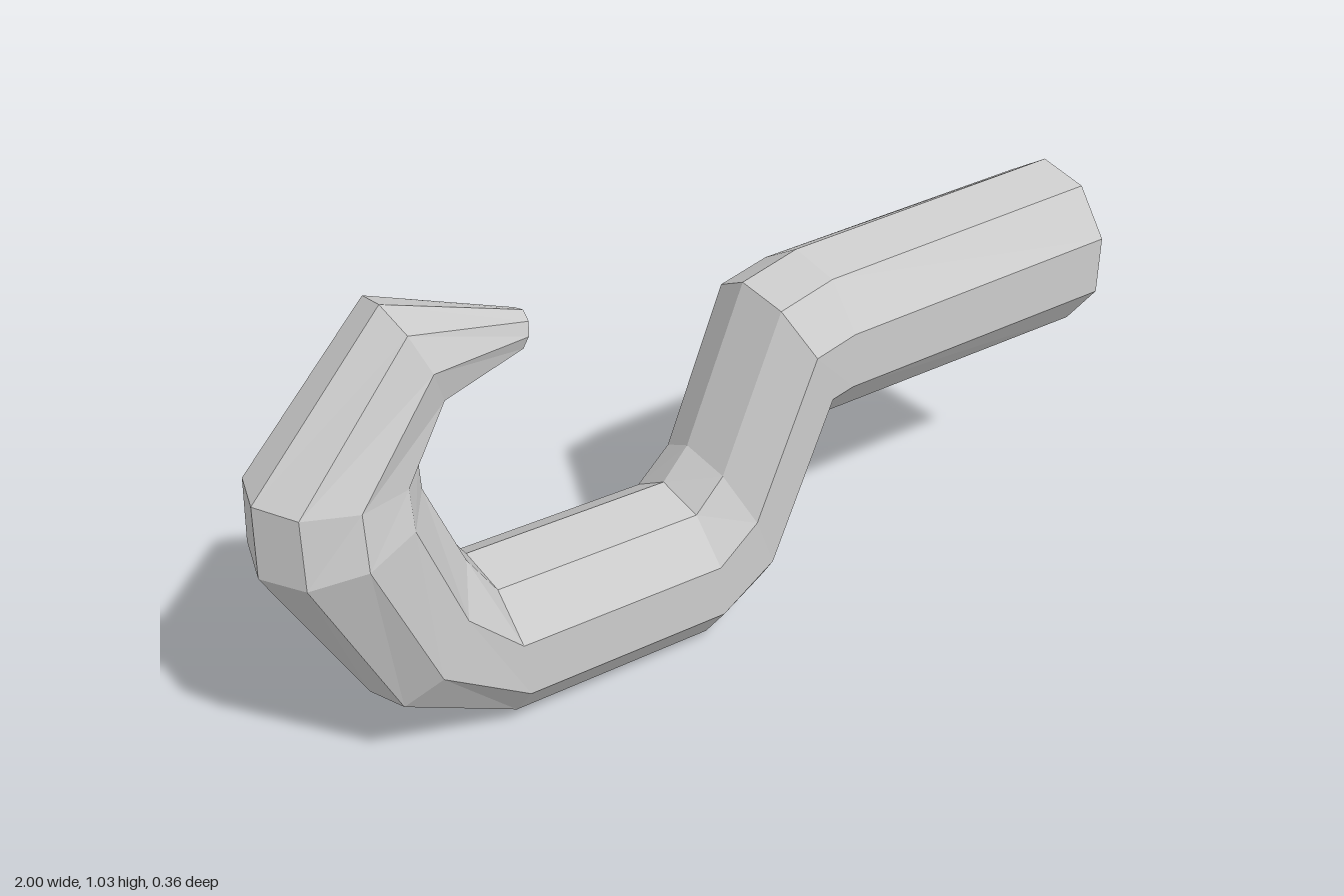
import * as THREE from 'three';

const SIDES = 9;

// Cross-sections from the straight end to the hook tip:
// [outer x, outer y, inner x, inner y, centre z, half depth, twist in degrees]
const SECTIONS = [
  [1.0, 0.44, 1.0, 0.825, -0.002, 0.174, 0],
  [0.285, 0.452, 0.28, 0.815, -0.004, 0.174, 0],
  [0.275, 0.45, 0.14, 0.78, -0.006, 0.174, 0],
  [0.13, 0.09, 0.0, 0.435, -0.01, 0.17, 0],
  [-0.03, 0.0, -0.06, 0.365, -0.012, 0.17, 0],
  [-0.51, 0.02, -0.54, 0.385, -0.015, 0.17, 0],
  [-0.79, 0.17, -0.59, 0.47, -0.005, 0.168, 5],
  [-1.0, 0.565, -0.67, 0.65, 0.014, 0.165, 14],
  [-0.995, 0.72, -0.67, 0.71, 0.014, 0.145, 15],
  [-0.71, 1.03, -0.62, 0.8, 0.01, 0.116, 17],
  [-0.42, 0.925, -0.445, 0.845, 0.02, 0.04, 17],
];

// One ring of points, starting near the outer side of the bend and turning toward +z
function ring([ox, oy, ix, iy, cz, depth, twist]) {
  return Array.from({ length: SIDES }, (_, k) => {
    const a = THREE.MathUtils.degToRad((360 / SIDES) * k - 10 + twist);
    const c = Math.cos(a) / 2;
    return new THREE.Vector3(
      (ox + ix) / 2 + (ox - ix) * c,
      (oy + iy) / 2 + (oy - iy) * c,
      cz + depth * Math.sin(a)
    );
  });
}

function loft(rings) {
  const points = [];
  // side faces between neighbouring rings
  for (let i = 0; i < rings.length - 1; i++) {
    for (let k = 0; k < SIDES; k++) {
      const n = (k + 1) % SIDES;
      const [a, b, c, d] = [rings[i][k], rings[i][n], rings[i + 1][n], rings[i + 1][k]];
      points.push(a, b, c, a, c, d);
    }
  }
  // flat end caps
  const first = rings[0], last = rings[rings.length - 1];
  for (let k = 1; k < SIDES - 1; k++) {
    points.push(first[0], first[k + 1], first[k]);
    points.push(last[0], last[k], last[k + 1]);
  }
  const geometry = new THREE.BufferGeometry().setFromPoints(points);
  geometry.computeVertexNormals();
  return geometry;
}

export function createModel() {
  const group = new THREE.Group();
  group.name = 'hook';

  // nine-sided bar, bent down and curled up into a tapered tip
  const material = new THREE.MeshStandardMaterial({ color: 0xcccccc, flatShading: true });
  const bar = new THREE.Mesh(loft(SECTIONS.map(ring)), material);
  bar.name = 'hookedBar';
  group.add(bar);

  return group;
}
